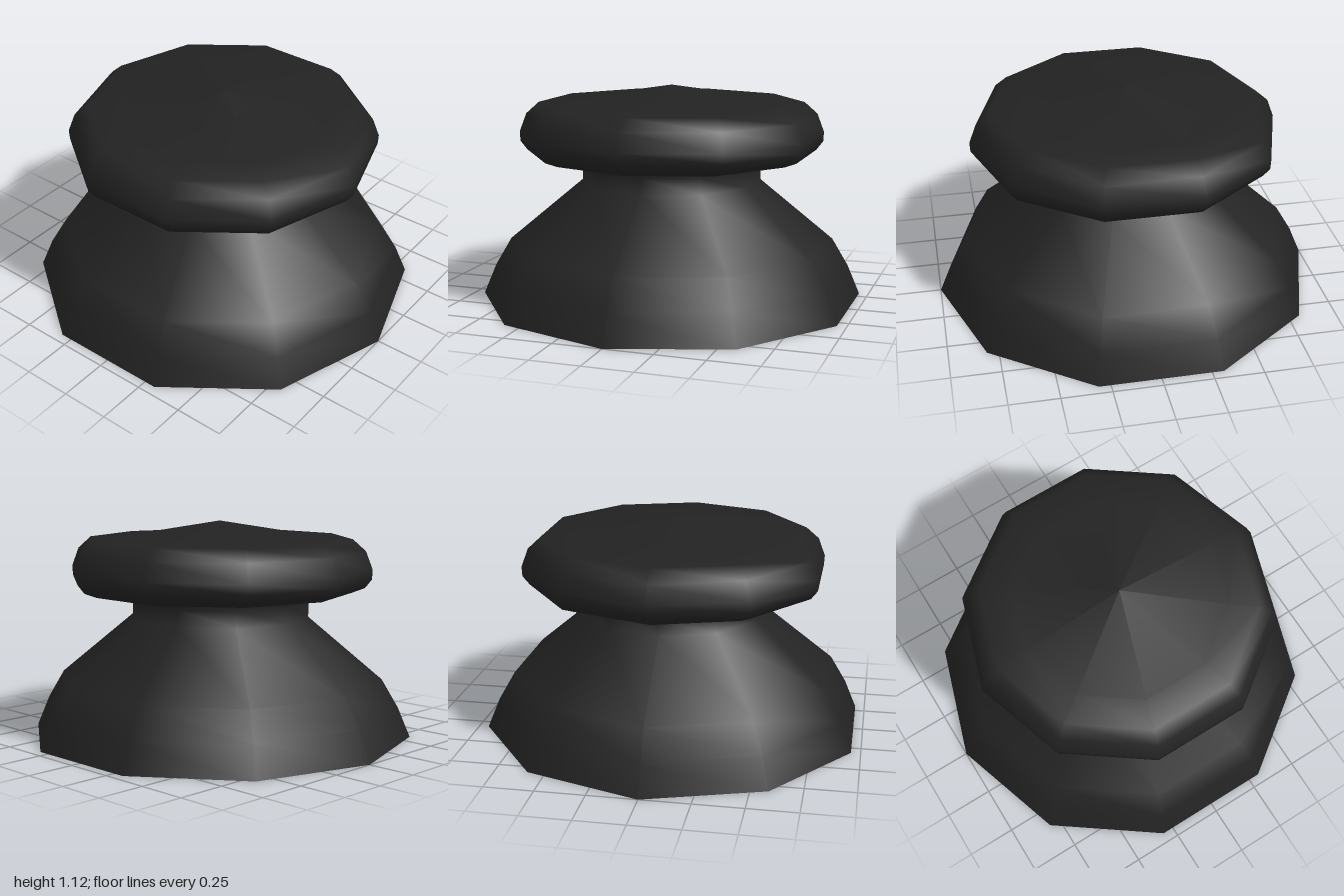
import * as THREE from 'three';

const SIDES = 10;

export function createModel() {
  const group = new THREE.Group();
  const blackRubber = new THREE.MeshStandardMaterial({ color: 0x222222, side: THREE.DoubleSide });
  blackRubber.name = 'blackRubber';

  // Smooth ten-sided turned part with corners on the x axis
  function turned(name, profile) {
    const points = profile.map(([r, y]) => new THREE.Vector2(r, y));
    const mesh = new THREE.Mesh(new THREE.LatheGeometry(points, SIDES, Math.PI / 2), blackRubber);
    mesh.name = name;
    group.add(mesh);
  }

  // Hollow flared skirt, open below, rising into the neck
  turned('skirtAndNeck', [
    [1, 0], [0.935, 0.155], [0.85, 0.3], [0.465, 0.62], [0.465, 0.7],
  ]);

  // Thumb cap: neck collar, flat underside, rounded rim and shallow conical top
  turned('thumbCap', [
    [0.465, 0.7], [0.465, 0.75], [0.69, 0.75], [0.755, 0.775], [0.79, 0.82],
    [0.793, 0.87], [0.757, 0.965], [0.69, 1.025], [0.54, 1.025], [0, 1.115],
  ]);

  return group;
}
